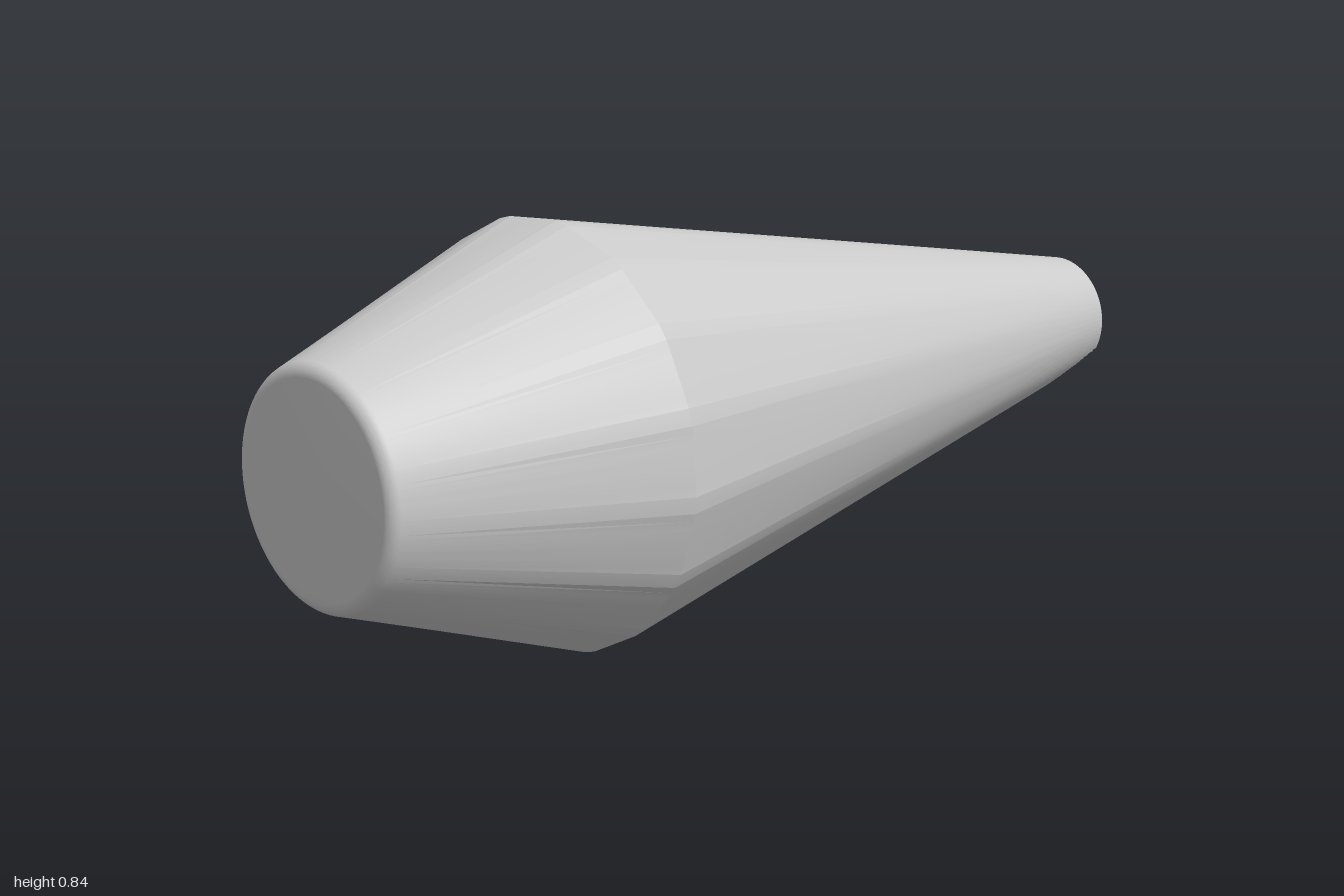
import * as THREE from 'three';
import { toCreasedNormals } from 'three/addons/utils/BufferGeometryUtils.js';

const AXIS_Y = 0.421;
const STEPS = 160; // 16 facets, each 8 steps of flat and 2 steps of rounded corner
const STEP = (Math.PI * 2) / STEPS;
const START = THREE.MathUtils.degToRad(-6.5) - STEP;

// How far a sixteen-sided outline with round corners lies inside its circle
function facet(i) {
  const u = i % 10;
  return u < 2 ? 1 : Math.cos(4 * STEP) / Math.cos((u - 6) * STEP);
}

// Stations along the axis: z, radius, and how strongly the facets show
function makeStations() {
  const stations = [];
  const belly = { z: 0.45, r: 0.421 };
  const tail = { z: -1, r: 0.122 };
  const between = (z) => {
    const t = (z - tail.z) / (belly.z - tail.z);
    return [z, THREE.MathUtils.lerp(tail.r, belly.r, t), t];
  };
  for (let k = 0; k <= 30; k++) stations.push(between(-1 + k * 0.01));
  stations.push(between(-0.3), between(0.1), between(belly.z));
  // nose edge rounded by an arc that runs from the cone slope to the flat end
  const R = 0.029, slope = THREE.MathUtils.degToRad(19.3);
  for (let k = 0; k <= 18; k++) {
    const a = THREE.MathUtils.lerp(slope, Math.PI / 2, k / 18);
    stations.push([1 - R + R * Math.sin(a), 0.208 + R * Math.cos(a), 0]);
  }
  return stations;
}

function makeBody() {
  const stations = makeStations();
  const position = [], index = [];
  for (const [z, r, blend] of stations) {
    // slanted flat on the underside of the tail
    const floor = -0.06 - 0.444 * (z + 1);
    for (let i = 0; i < STEPS; i++) {
      const a = START + i * STEP;
      let radius = r * THREE.MathUtils.lerp(1, facet(i), blend);
      const y = radius * Math.sin(a);
      if (y < floor) radius *= floor / y;
      position.push(radius * Math.cos(a), AXIS_Y + radius * Math.sin(a), z);
    }
  }
  const last = (stations.length - 1) * STEPS;
  const tailCentre = position.length / 3, noseCentre = tailCentre + 1;
  position.push(0, AXIS_Y, -1, 0, AXIS_Y, 1);
  for (let i = 0; i < STEPS; i++) {
    const j = (i + 1) % STEPS;
    for (let k = 0; k < last; k += STEPS) {
      const n = k + STEPS;
      index.push(k + i, k + j, n + j, k + i, n + j, n + i);
    }
    index.push(tailCentre, j, i, noseCentre, last + i, last + j);
  }
  const geometry = new THREE.BufferGeometry();
  geometry.setAttribute('position', new THREE.Float32BufferAttribute(position, 3));
  geometry.setIndex(index);
  return toCreasedNormals(geometry, THREE.MathUtils.degToRad(6));
}

export function createModel() {
  const group = new THREE.Group();
  const body = new THREE.Mesh(makeBody(), new THREE.MeshStandardMaterial({ color: 0xcccccc }));
  body.name = 'facetedTaperedBody';
  group.add(body);
  return group;
}
